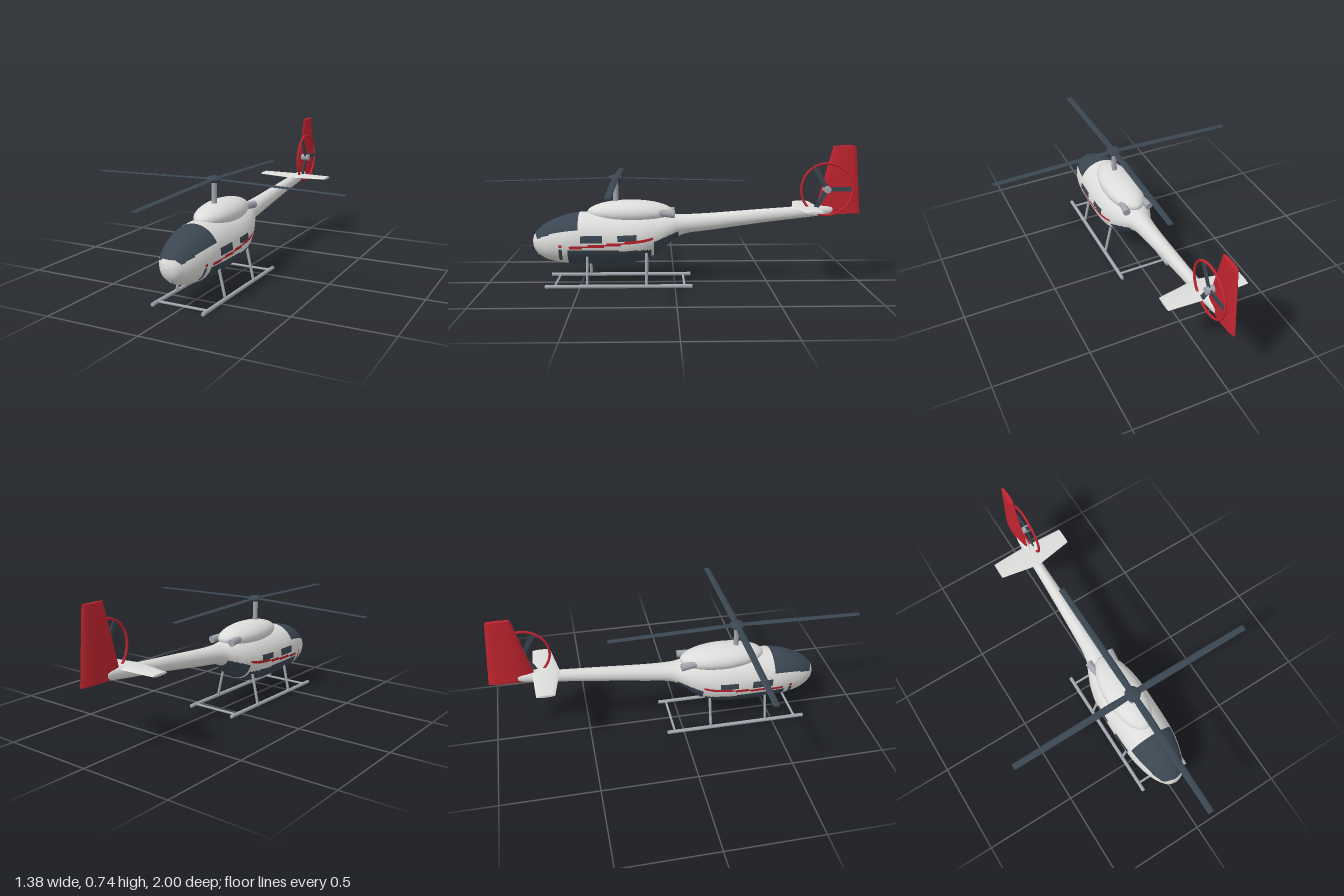
import * as THREE from 'three';
import { toCreasedNormals } from 'three/addons/utils/BufferGeometryUtils.js';

const mat = (name, color) => Object.assign(new THREE.MeshStandardMaterial({ color }), { name });

// Skin a list of closed rings; paint(centre) picks a material index for each quad
function loft(rings, paint = () => 0) {
  const n = rings[0].length, lists = [[], [], []];
  const mid = new THREE.Vector3();
  for (let i = 0; i < rings.length - 1; i++) {
    for (let j = 0; j < n; j++) {
      const k = (j + 1) % n;
      const a = i * n + j, b = a + n, c = i * n + k, d = c + n;
      mid.copy(rings[i][j]).add(rings[i + 1][k]).multiplyScalar(0.5);
      lists[paint(mid)].push(a, b, c, b, d, c);
    }
  }
  const g = new THREE.BufferGeometry().setFromPoints(rings.flat());
  g.setIndex(lists.flat());
  let start = 0;
  lists.forEach((l, i) => {
    if (l.length) g.addGroup(start, l.length, i);
    start += l.length;
  });
  g.computeVertexNormals();
  return g;
}

// Lens-shaped surface along x; rows are [x, leading z, trailing z, y, half thickness]
function wing(rows) {
  const ring = ([x, z0, z1, y, h], s = 1) => Array.from({ length: 16 }, (_, j) => {
    const t = j / 16 * Math.PI * 2;
    return new THREE.Vector3(x, y + s * h * Math.sin(t), (z0 + z1) / 2 + s * (z0 - z1) / 2 * Math.cos(t));
  });
  const g = loft([ring(rows[0], 0), ...rows.map(r => ring(r)), ring(rows.at(-1), 0)]);
  g.clearGroups();
  return toCreasedNormals(g, 0.9);
}

// Fuselage and boom stations: z, top, bottom, half width
const STATIONS = [
  [0.758, 0.23, 0.23, 0], [0.75, 0.262, 0.195, 0.032], [0.73, 0.292, 0.165, 0.058],
  [0.677, 0.332, 0.132, 0.092], [0.6, 0.365, 0.115, 0.118], [0.5, 0.385, 0.108, 0.134],
  [0.3, 0.389, 0.107, 0.138], [0.18, 0.388, 0.122, 0.132], [0.09, 0.382, 0.165, 0.112],
  [0.02, 0.375, 0.222, 0.084], [-0.05, 0.371, 0.265, 0.056], [-0.2, 0.378, 0.287, 0.043],
  [-0.5, 0.4, 0.328, 0.032], [-0.82, 0.419, 0.367, 0.022], [-0.835, 0.395, 0.395, 0]
];

// Paint scheme: 0 white, 1 dark glass, 2 red
function fuselagePaint({ x, y, z }) {
  const ax = Math.abs(x), within = (v, a, b) => v > a && v < b;
  if (z > 0.51) {
    const edge = ax > 0.06 ? 0.25 + (ax - 0.06) * 0.9 : Math.min(0.272, 0.25 + (0.06 - ax) * 0.8);
    if (y > edge) return 1;
  }
  if (within(z, 0.115, 0.555)) {
    const line = 0.217 + 0.043 * Math.pow((0.555 - z) / 0.44, 1.7);
    if (Math.abs(y - line) < 0.007) return 2;
  }
  if (within(z, 0.593, 0.608) && within(y, 0.212, 0.228)) return 2;
  if (within(z, 0.375, 0.495) && within(y, 0.24, 0.277)) return 1;
  if (within(z, 0.2, 0.3) && within(y, 0.25, 0.283)) return 1;
  if (within(z, 0.125, 0.56) && y < 0.198) return 1;
  if (within(z, 0.593, 0.608) && within(y, 0.14, 0.205)) return 1;
  if (within(z, -0.02, 0.11) && y < 0.282 - z * 0.36) return 1;
  return 0;
}

function fuselageGeometry() {
  const outline = new THREE.CatmullRomCurve3(STATIONS.map(s => new THREE.Vector3(s[0], s[1], s[2])), false, 'catmullrom', 0.5);
  const width = new THREE.CatmullRomCurve3(STATIONS.map(s => new THREE.Vector3(s[0], s[3], 0)), false, 'catmullrom', 0.5);
  const rings = [], N = 280, M = 112;
  for (let i = 0; i <= N; i++) {
    const p = outline.getPoint(i / N), rx = width.getPoint(i / N).y;
    rings.push(Array.from({ length: M }, (_, j) => {
      const t = j / M * Math.PI * 2;
      return new THREE.Vector3(rx * Math.cos(t), (p.y + p.z) / 2 + (p.y - p.z) / 2 * Math.sin(t), p.x);
    }));
  }
  return loft(rings, fuselagePaint);
}

export function createModel() {
  const model = new THREE.Group();
  model.name = 'helicopter';
  const white = mat('white paint', 0xdcdcda), dark = mat('dark glass', 0x3a4651);
  const red = mat('red paint', 0xc0242f), metal = mat('grey metal', 0xa2a5ae);

  const add = (name, geo, material, pos = [0, 0, 0], parent = model) => {
    const m = new THREE.Mesh(geo, material);
    m.name = name;
    m.position.set(...pos);
    parent.add(m);
    return m;
  };
  // Round bar between two points
  const bar = (name, a, b, r, material = metal, parent = model, r2 = r) => {
    const A = new THREE.Vector3(...a), B = new THREE.Vector3(...b), d = B.clone().sub(A);
    const m = add(name, new THREE.CylinderGeometry(r2, r, d.length(), 16), material, A.clone().add(B).multiplyScalar(0.5).toArray(), parent);
    m.quaternion.setFromUnitVectors(new THREE.Vector3(0, 1, 0), d.normalize());
    return m;
  };

  // Body
  add('fuselage', fuselageGeometry(), [white, dark, red]);
  add('engineCowling', new THREE.SphereGeometry(1, 40, 28).scale(0.1, 0.066, 0.23), white, [0, 0.384, 0.235]);
  add('noseLight', new THREE.SphereGeometry(0.013, 16, 12), metal, [0, 0.166, 0.722]);
  for (const s of [-1, 1]) {
    bar('exhaust', [s * 0.055, 0.388, 0.1], [s * 0.066, 0.38, 0], 0.017, metal, model, 0.02);
  }

  // Main rotor with drooping blades
  bar('mast', [0, 0.43, 0.3125], [0, 0.565, 0.3125], 0.014);
  const rotor = new THREE.Group();
  rotor.name = 'mainRotor';
  rotor.position.set(0, 0.566, 0.3125);
  model.add(rotor);
  add('rotorHub', new THREE.SphereGeometry(1, 24, 16).scale(0.041, 0.018, 0.041), dark, [0, 0, 0], rotor);
  const bladeGeo = wing([[0.02, 0.016, -0.016, 0, 0.004], [0.12, 0.019, -0.019, -0.002, 0.004], [0.6875, 0.016, -0.016, -0.016, 0.003]]);
  for (let i = 0; i < 4; i++) {
    add('rotorBlade', bladeGeo, dark, [0, 0, 0], rotor).rotation.y = i * Math.PI / 2;
  }

  // Landing skids
  for (const s of [-1, 1]) {
    bar('skid', [s * 0.138, 0.011, 0.68], [s * 0.138, 0.011, -0.092], 0.01);
    for (const z of [0.46, 0.15]) bar('skidStrut', [s * 0.1, 0.18, z], [s * 0.138, 0.012, z], 0.0075);
  }
  for (const z of [0.63, -0.05]) bar('skidCrossbar', [-0.138, 0.011, z], [0.138, 0.011, z], 0.0065);

  // Tail surfaces
  add('stabiliser', wing([[-0.21, -0.668, -0.762, 0, 0.006], [0, -0.63, -0.772, 0, 0.008], [0.21, -0.668, -0.762, 0, 0.006]]), white, [0, 0.407, 0]);
  const fin = wing([[0.372, -0.79, -0.997, 0, 0.016], [0.392, -0.755, -0.995, 0, 0.017], [0.737, -0.845, -0.967, 0, 0.011]]);
  add('tailFin', fin.rotateZ(Math.PI / 2), red);

  // Tail rotor inside its guard ring
  const tail = new THREE.Group();
  tail.name = 'tailRotor';
  tail.position.set(0.033, 0.506, -0.81);
  model.add(tail);
  add('guardRing', new THREE.TorusGeometry(0.138, 0.0065, 12, 64).rotateY(Math.PI / 2), red, [0, 0, 0], tail);
  bar('tailRotorHub', [-0.03, 0, 0], [0.019, 0, 0], 0.019, metal, tail);
  const tailBlade = new THREE.BoxGeometry(0.007, 0.024, 0.13).translate(0, 0, -0.07);
  for (let i = 0; i < 3; i++) {
    add('tailRotorBlade', tailBlade, dark, [0, 0, 0], tail).rotation.x = i * Math.PI * 2 / 3;
  }
  return model;
}
